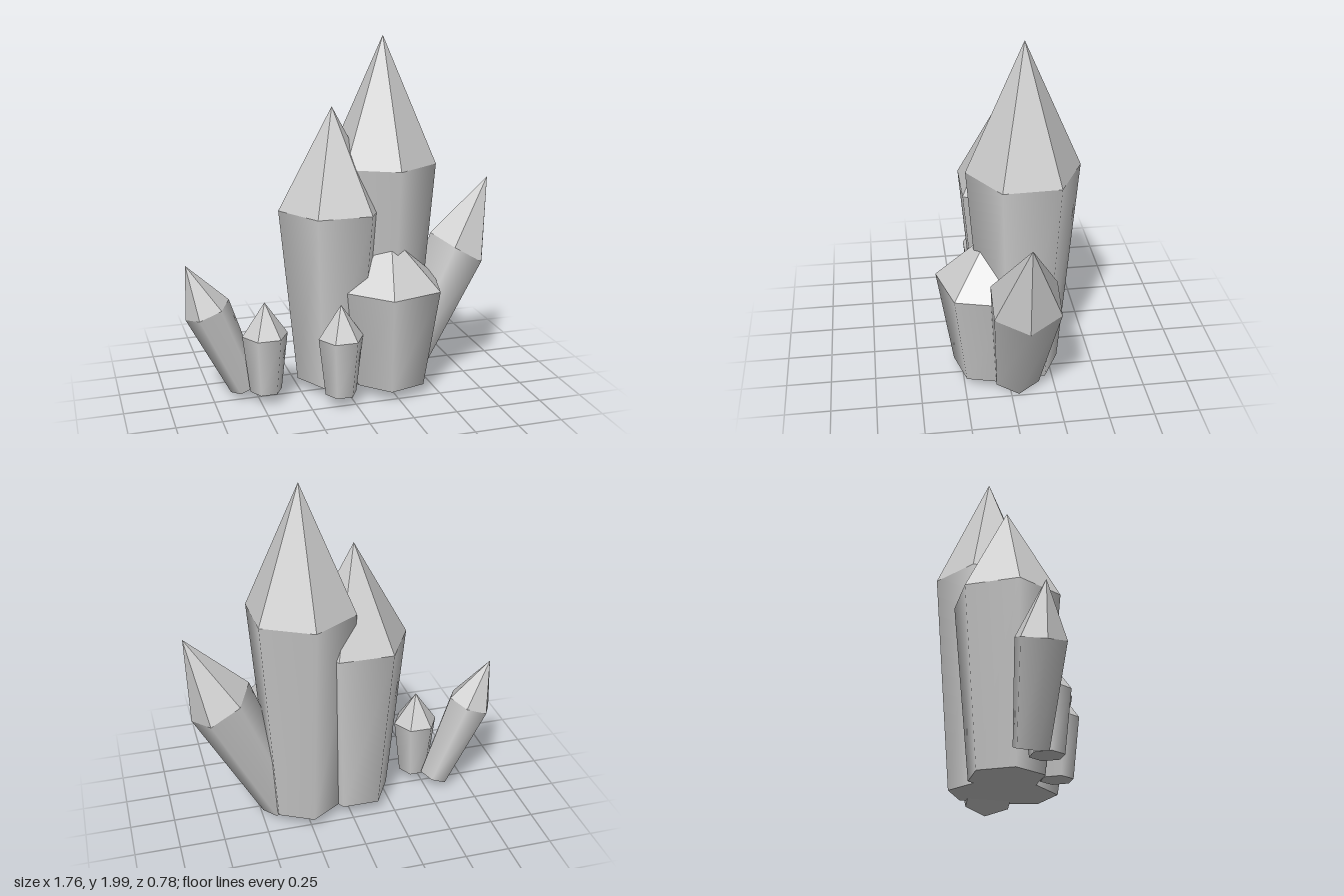
import * as THREE from 'three';

const bodyMaterial = new THREE.MeshStandardMaterial({ color: 0xcccccc });
const tipMaterial = new THREE.MeshStandardMaterial({ color: 0xcccccc, flatShading: true });

// Stretch a unit geometry (standing on y = 0) from one centre to another.
function place(geometry, from, to, across, radius, z) {
  const basis = new THREE.Matrix4().makeBasis(
    new THREE.Vector3(across[0], across[1], 0),
    new THREE.Vector3(to[0] - from[0], to[1] - from[1], 0),
    new THREE.Vector3(0, 0, radius)
  );
  return geometry.translate(0, 0.5, 0).applyMatrix4(basis.setPosition(from[0], from[1], z));
}

// A six-sided shaft that widens upwards, closed by a pointed tip.
// base, shoulder and apex are [x, y]; across is the sideways radius vector.
function crystal({ name, base, shoulder, apex, z, radius, across = [radius, 0], taper = 0.69, turn = 30 }) {
  const group = new THREE.Group();
  group.name = name;
  const start = THREE.MathUtils.degToRad(turn);

  const shaft = new THREE.Mesh(
    place(new THREE.CylinderGeometry(1, taper, 1, 6, 1, false, start), base, shoulder, across, radius, z),
    bodyMaterial
  );
  shaft.name = name + 'Shaft';

  const tip = new THREE.Mesh(
    place(new THREE.ConeGeometry(1, 1, 6, 1, false, start), shoulder, apex, across, radius, z),
    tipMaterial
  );
  tip.name = name + 'Tip';

  group.add(shaft, tip);
  return group;
}

// An upright crystal standing on the common base level.
function upright(name, x, z, radius, shoulderY, apexY, turn, taper) {
  return crystal({ name, base: [x, 0.07], shoulder: [x, shoulderY], apex: [x, apexY], z, radius, turn, taper });
}

export function createModel() {
  const model = new THREE.Group();
  model.name = 'crystalCluster';

  model.add(
    // Large upright crystals
    upright('tallCrystal', 0.25, -0.087, 0.305, 1.3, 2.0, 2, 0.68),
    upright('mediumCrystal', -0.052, -0.045, 0.305, 1.07, 1.63, 30, 0.68),
    upright('stoutCrystal', 0.25, 0.09, 0.305, 0.635, 0.925, -15, 0.7),
    // Small upright crystals
    upright('smallFrontCrystal', -0.077, 0.215, 0.127, 0.4, 0.587, 30, 0.7),
    upright('smallSideCrystal', -0.467, 0.058, 0.128, 0.4, 0.587, 30, 0.7),
    // Leaning crystals on either side
    crystal({
      name: 'leftLeaningCrystal', base: [0.376, 0.072], shoulder: [0.699, 0.777], apex: [0.877, 1.182],
      z: -0.042, radius: 0.2, across: [0.163, -0.097]
    }),
    crystal({
      name: 'rightLeaningCrystal', base: [-0.563, 0.066], shoulder: [-0.765, 0.54], apex: [-0.876, 0.802],
      z: -0.046, radius: 0.131, across: [0.121, 0.048]
    })
  );
  return model;
}
